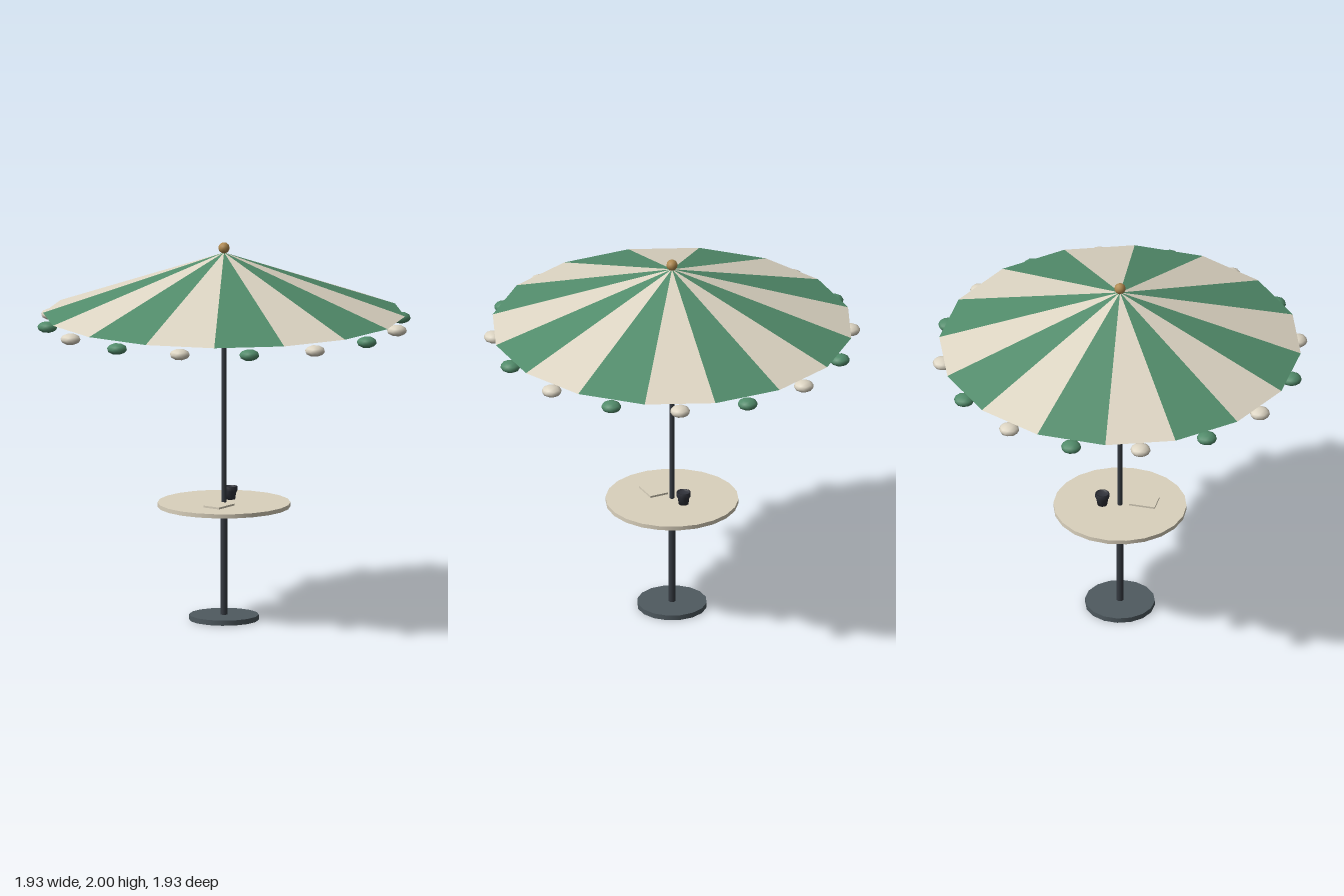
import * as THREE from 'three';

const paint = (name, color, extra = {}) => {
  const m = new THREE.MeshStandardMaterial({ color, ...extra });
  m.name = name;
  return m;
};

export function createModel() {
  const model = new THREE.Group();
  model.name = 'parasolTable';

  const canopyCream = paint('canopy cream', 0xddd5c3, { side: THREE.DoubleSide });
  const canopyGreen = paint('canopy green', 0x528c6b, { side: THREE.DoubleSide });
  const tableCream = paint('table cream', 0xdad1bd);
  const poleMetal = paint('pole metal', 0x363b42);
  const baseMetal = paint('base metal', 0x4f5a60);
  const cupDark = paint('cup charcoal', 0x2f3139);
  const brass = paint('finial brass', 0xb08a50);

  const add = (name, geometry, material, x = 0, y = 0, z = 0, parent = model) => {
    const mesh = new THREE.Mesh(geometry, material);
    mesh.name = name;
    mesh.position.set(x, y, z);
    parent.add(mesh);
    return mesh;
  };

  // Low-poly ball standing on one of its corners
  const ball = (radius, squash = 1) =>
    new THREE.IcosahedronGeometry(radius, 1)
      .rotateX(-Math.atan((1 + Math.sqrt(5)) / 2))
      .rotateY(Math.PI / 2)
      .scale(1, squash, 1);

  // Upright cylinder from y0 to y1
  const post = (name, rTop, rBottom, y0, y1, sides, material, x = 0, z = 0) =>
    add(name, new THREE.CylinderGeometry(rTop, rBottom, y1 - y0, sides), material, x, (y0 + y1) / 2, z);

  // Stand
  post('base', 0.182, 0.182, 0, 0.027, 16, baseMetal);
  post('lowerPole', 0.019, 0.019, 0.02, 0.605, 12, poleMetal);
  post('upperPole', 0.013, 0.013, 0.6, 1.94, 12, poleMetal);

  // Table with a cup and a menu card
  post('tableTop', 0.347, 0.347, 0.6, 0.622, 22, tableCream);
  add('cup', new THREE.LatheGeometry([
    [0, 0], [0.026, 0], [0.031, 0.035], [0.037, 0.045], [0.037, 0.068], [0.031, 0.068], [0.028, 0.058], [0, 0.058],
  ].map(([r, y]) => new THREE.Vector2(r, y)), 12), cupDark, 0.082, 0.622, -0.042);
  const card = add('menuCard', new THREE.BoxGeometry(0.138, 0.01, 0.1), tableCream, -0.103, 0.627, 0.075);
  card.rotation.y = 0.22;

  // Canopy of sixteen flat panels, each with a bobble below its rim
  const canopy = new THREE.Group();
  canopy.name = 'canopy';
  model.add(canopy);
  const count = 16, step = (Math.PI * 2) / count;
  const rim = 0.945, rimY = 1.616, apexY = 1.946;
  const bobble = ball(0.053, 0.57);
  for (let i = 0; i < count; i++) {
    const material = i % 2 ? canopyCream : canopyGreen;
    const panel = new THREE.ConeGeometry(rim, apexY - rimY, 1, 1, true, i * step, step).toNonIndexed();
    panel.computeVertexNormals();
    add('canopyPanel', panel, material, 0, (apexY + rimY) / 2, 0, canopy);
    const a = (i + 0.5) * step;
    add('bobble', bobble, material, 0.93 * Math.sin(a), 1.575, 0.93 * Math.cos(a), canopy);
  }

  // Finial
  add('finial', ball(0.03), brass, 0, 1.97, 0);

  return model;
}
